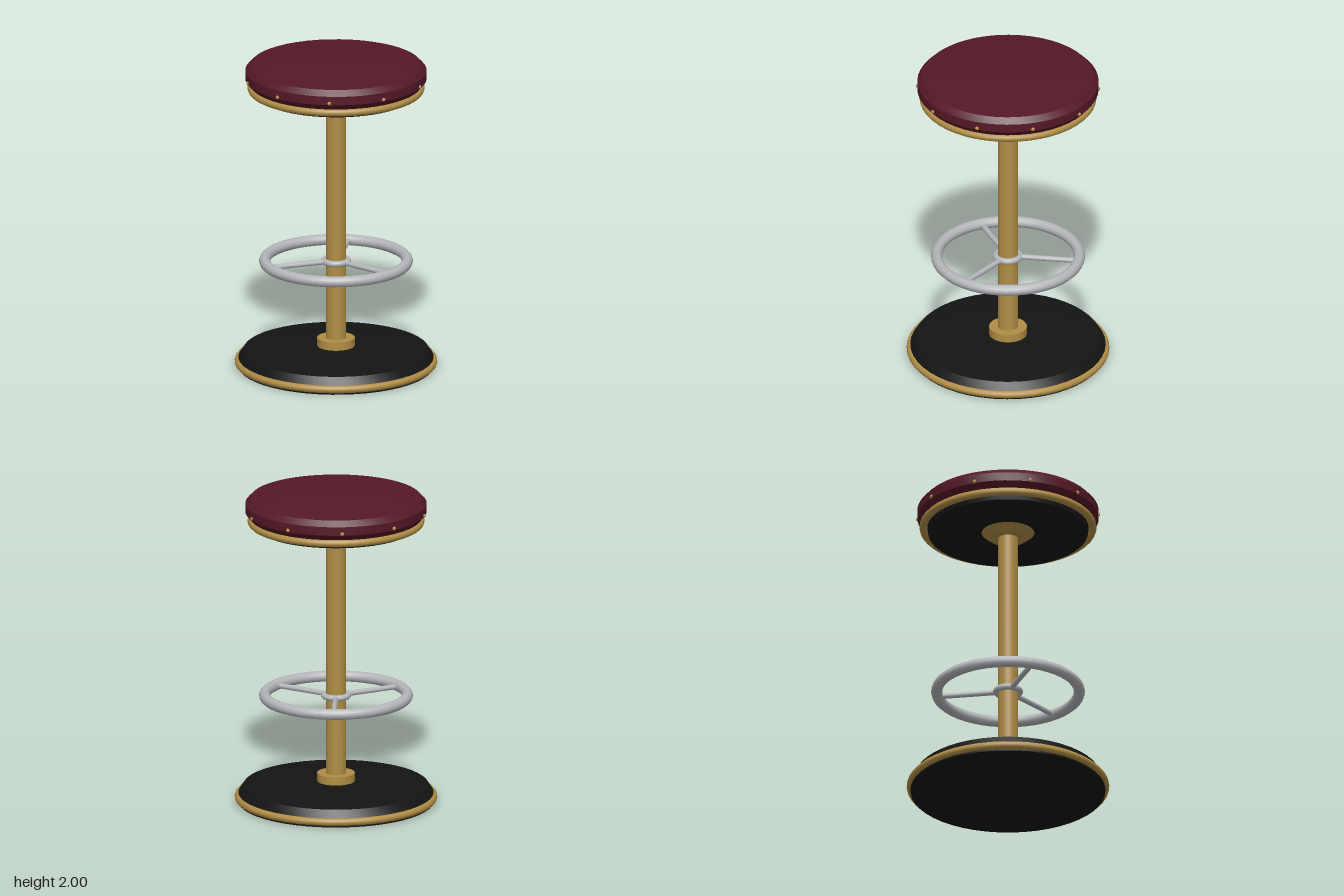
import * as THREE from 'three';
import { toCreasedNormals } from 'three/addons/utils/BufferGeometryUtils.js';

const mat = (color) => new THREE.MeshStandardMaterial({ color });

export function createModel() {
  const stool = new THREE.Group();
  const black = mat(0x141414);
  const brass = mat(0xb08d45);
  const leather = mat(0x551826);
  const steel = mat(0xb4b6ba);

  const add = (name, geometry, material, parent = stool) => {
    const mesh = new THREE.Mesh(geometry, material);
    mesh.name = name;
    parent.add(mesh);
    return mesh;
  };
  // Turned part: [radius, y] points from bottom to top
  const turned = (name, points, material, crease = 0.5) => {
    const lathe = new THREE.LatheGeometry(points.map(([r, y]) => new THREE.Vector2(r, y)), 48);
    return add(name, toCreasedNormals(lathe, crease), material);
  };
  // Horizontal ring
  const ring = (name, radius, tube, y, material, parent = stool) => {
    const geometry = new THREE.TorusGeometry(radius, tube, 12, 48).rotateX(Math.PI / 2);
    const mesh = add(name, geometry, material, parent);
    mesh.position.y = y;
    return mesh;
  };

  // Base and column
  turned('base', [[0, 0], [0.61, 0], [0.615, 0.055], [0.58, 0.108], [0.33, 0.135], [0, 0.135]], black, 0.3);
  ring('baseTrim', 0.61, 0.025, 0.035, brass);
  turned('columnCollar', [[0.118, 0.125], [0.118, 0.188], [0, 0.188]], brass);
  turned('column', [[0.063, 0.13], [0.063, 1.77]], brass);
  turned('seatFlange', [[0, 1.745], [0.115, 1.745], [0.165, 1.785]], brass);

  // Seat
  turned('seatPlate', [[0, 1.785], [0.5, 1.785], [0.51, 1.85]], black);
  ring('seatTrim', 0.53, 0.025, 1.825, brass);
  turned('cushion', [
    [0, 1.845], [0.535, 1.845], [0.568, 1.885], [0.568, 1.94], [0.535, 1.975],
    [0.4, 1.988], [0.2, 1.997], [0, 2],
  ], leather);

  const studs = new THREE.Group();
  studs.name = 'studs';
  stool.add(studs);
  for (let i = 0; i < 10; i++) {
    const a = (i * Math.PI) / 5;
    const stud = add('stud', new THREE.SphereGeometry(0.013, 10, 8), brass, studs);
    stud.position.set(0.565 * Math.cos(a), 1.895, 0.565 * Math.sin(a));
  }

  // Footrest: outer ring, hub and three spokes
  const footrest = new THREE.Group();
  footrest.name = 'footrest';
  footrest.position.y = 0.69;
  stool.add(footrest);
  ring('footRing', 0.447, 0.035, 0, steel, footrest);
  ring('footHub', 0.075, 0.02, 0, steel, footrest);
  for (let i = 0; i < 3; i++) {
    const pivot = new THREE.Group();
    pivot.rotation.y = (i * 2 * Math.PI) / 3;
    footrest.add(pivot);
    const spoke = new THREE.CylinderGeometry(0.017, 0.017, 0.37, 12).rotateX(Math.PI / 2);
    add('footSpoke', spoke, steel, pivot).position.z = 0.25;
  }

  return stool;
}
